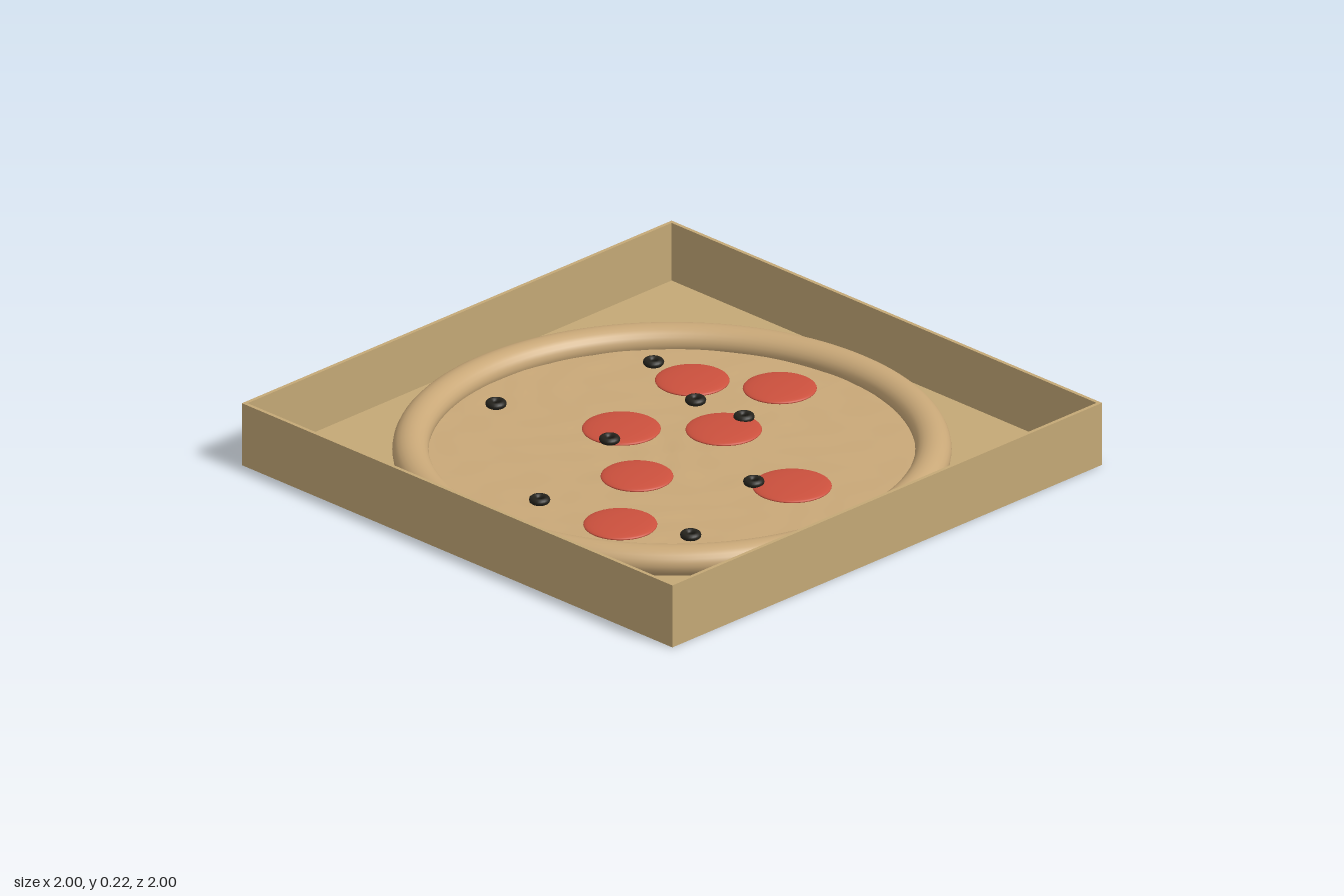
import * as THREE from 'three';

const mat = (name, color) => {
  const m = new THREE.MeshStandardMaterial({ color });
  m.name = name;
  return m;
};

export function createModel() {
  const cardboard = mat('cardboard', 0xc4a876);
  const dough = mat('dough', 0xc9a878);
  const red = mat('pepperoni red', 0xcb503d);
  const black = mat('olive black', 0x24221c);

  const model = new THREE.Group();
  model.name = 'pizzaInBox';
  const add = (parent, name, geometry, material, x = 0, y = 0, z = 0) => {
    const mesh = new THREE.Mesh(geometry, material);
    mesh.name = name;
    mesh.position.set(x, y, z);
    parent.add(mesh);
    return mesh;
  };
  const group = (name) => {
    const g = new THREE.Group();
    g.name = name;
    model.add(g);
    return g;
  };

  // Open tray: a square floor with four thin walls
  const H = 0.225, T = 0.013, FLOOR = 0.016;
  const box = group('box');
  add(box, 'boxFloor', new THREE.BoxGeometry(2 - 2 * T, FLOOR, 2 - 2 * T), cardboard, 0, FLOOR / 2, 0);
  for (const s of [-1, 1]) {
    add(box, s > 0 ? 'frontWall' : 'backWall', new THREE.BoxGeometry(2, H, T), cardboard, 0, H / 2, s * (1 - T / 2));
    add(box, s > 0 ? 'leftWall' : 'rightWall', new THREE.BoxGeometry(T, H, 2 - 2 * T), cardboard, s * (1 - T / 2), H / 2, 0);
  }

  // Gently lumpy base of the pizza
  const pizza = group('pizza');
  const base = new THREE.RingGeometry(0.0005, 0.83, 96, 28).rotateX(-Math.PI / 2);
  const p = base.attributes.position;
  for (let i = 0; i < p.count; i++) {
    const x = p.getX(i), z = p.getZ(i);
    const lump = Math.sin(17 * x + 3 * Math.sin(9 * z)) * Math.cos(15 * z + 2 * Math.sin(11 * x))
      + 0.6 * Math.sin(29 * x - 13 * z) * Math.sin(23 * z + 7 * x);
    p.setY(i, 0.0015 * lump);
  }
  base.computeVertexNormals();
  add(pizza, 'pizzaBase', base, dough, 0, 0.044, 0);

  // Rounded rim, slightly flattened
  const rim = new THREE.TorusGeometry(0.86, 0.06, 24, 128).rotateX(Math.PI / 2).scale(1, 0.85, 1);
  add(pizza, 'crust', rim, dough, 0, 0.0585, 0);

  // Flat domed slices: x, z, radius
  const slices = group('pepperoni');
  const dome = new THREE.SphereGeometry(1, 40, 20);
  for (const [x, z, r] of [
    [0.01, -0.245, 0.13], [0.44, -0.345, 0.123], [0.6, -0.098, 0.122], [0.243, -0.002, 0.126],
    [-0.215, 0.052, 0.12], [-0.517, 0.276, 0.122], [0.092, 0.466, 0.131],
  ]) {
    add(slices, 'pepperoniSlice', dome, red, x, 0.048, z).scale.set(r, 0.015, r);
  }

  // Olive rings: x, z
  const olives = group('olives');
  const ring = new THREE.TorusGeometry(0.0235, 0.0118, 12, 24).rotateX(Math.PI / 2);
  for (const [x, z] of [
    [-0.166, -0.652], [0.428, -0.513], [0.317, -0.207], [-0.097, -0.193],
    [0.338, -0.003], [-0.592, -0.024], [0.005, 0.375], [-0.434, 0.52],
  ]) {
    add(olives, 'oliveRing', ring, black, x, 0.063, z);
  }

  return model;
}
